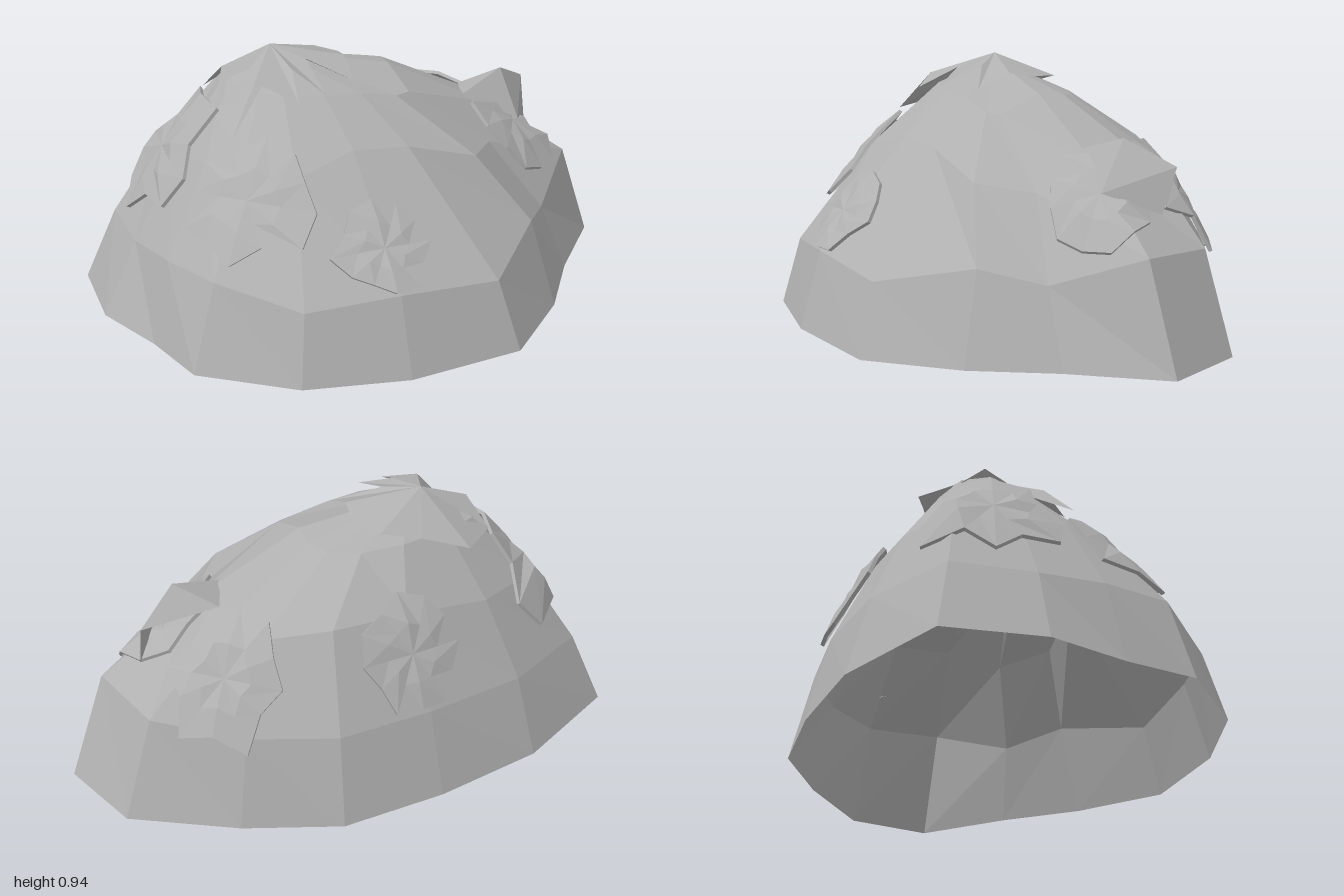
import * as THREE from 'three';

const stone = new THREE.MeshStandardMaterial({ color: 0xb0b0b0, flatShading: true, side: THREE.DoubleSide });
stone.name = 'grey stone';

function makeMesh(name, points, faces) {
  const geo = new THREE.BufferGeometry();
  geo.setAttribute('position', new THREE.Float32BufferAttribute(points.flat(), 3));
  geo.setIndex(faces.flat());
  const flat = geo.toNonIndexed();
  flat.computeVertexNormals();
  const mesh = new THREE.Mesh(flat, stone);
  mesh.name = name;
  return mesh;
}

// Open-bottomed mound: four rings of fifteen corners and a summit
function buildMound() {
  const base = [[-.97, -.51], [-.54, -.69], [-.12, -.735], [.27, -.725], [.59, -.57], [.92, -.34], [1, -.02],
    [.73, .24], [.52, .49], [.23, .72], [-.2, .725], [-.56, .62], [-.85, .37], [-.905, .11], [-1, -.17]]
    .map(([x, z]) => [x, 0, z]);
  const low = [[-.86, .28, -.45], [-.5, .3, -.61], [-.1, .32, -.66], [.25, .32, -.65], [.54, .33, -.52],
    [.8, .36, -.31], [.86, .38, -.01], [.62, .27, .22], [.46, .32, .4], [.18, .25, .64], [-.2, .28, .64],
    [-.52, .25, .56], [-.75, .31, .33], [-.83, .3, .08], [-.87, .28, -.16]];
  const high = [[-.68, .57, -.38], [-.42, .59, -.49], [-.08, .64, -.51], [.2, .65, -.5], [.42, .62, -.4],
    [.53, .62, -.28], [.53, .62, -.06], [.43, .54, .13], [.28, .57, .29], [.01, .65, .28], [-.2, .67, .27],
    [-.42, .61, .29], [-.58, .6, .17], [-.65, .6, .02], [-.68, .6, -.17]];
  const top = [[-.47, .82, -.3], [-.34, .82, -.34], [-.15, .82, -.36], [0, .81, -.33], [.1, .81, -.27],
    [.14, .82, -.2], [.12, .83, -.1], [.12, .77, .07], [.06, .77, .09], [-.08, .8, .08], [-.22, .81, .08],
    [-.36, .82, .04], [-.43, .82, -.02], [-.47, .83, -.1], [-.49, .84, -.2]];
  const rings = [base, low, high, top];
  const n = base.length, faces = [];
  for (let r = 0; r < 3; r++) {
    for (let i = 0; i < n; i++) {
      const a = r * n + i, b = r * n + (i + 1) % n;
      faces.push([a, a + n, b + n], [a, b + n, b]);
    }
  }
  for (let i = 0; i < n; i++) faces.push([3 * n + i, 4 * n, 3 * n + (i + 1) % n]);
  return makeMesh('mound', [...rings.flat(), [-.29, .91, -.19]], faces);
}

// Ragged flake laid over the mound: a fan, its outline and a thin rim
function buildFlake(mound, { name, at, normal, size, radii, lift = 0.02, tilt = 0 }) {
  const n = new THREE.Vector3(...normal).normalize();
  const u = new THREE.Vector3(0, 1, 0).cross(n).normalize();
  const v = n.clone().cross(u);
  const centre = new THREE.Vector3(...at);
  const ray = new THREE.Raycaster();
  const place = (a, b, height) => {
    const p = centre.clone().addScaledVector(u, a).addScaledVector(v, b);
    ray.set(p.clone().addScaledVector(n, 0.5), n.clone().negate());
    const hit = ray.intersectObject(mound)[0];
    if (hit && hit.point.distanceTo(p) < 0.15) p.copy(hit.point);
    return p.addScaledVector(n, height).toArray();
  };
  const k = radii.length, points = [place(0, 0, lift)], faces = [];
  const layers = [[0.5, lift], [1, lift], [0.99, lift - 0.014]];
  for (const [scale, height] of layers) {
    radii.forEach((r, i) => {
      const t = i / k * Math.PI * 2 + tilt;
      const crumple = scale === 0.5 ? 0.008 * (i % 2) : 0;
      points.push(place(Math.cos(t) * size[0] * r * scale, Math.sin(t) * size[1] * r * scale, height + crumple));
    });
  }
  for (let i = 0; i < k; i++) {
    const j = (i + 1) % k;
    faces.push([0, 1 + i, 1 + j]);
    for (let s = 0; s < 2; s++) {
      const a = 1 + s * k + i, b = 1 + s * k + j;
      faces.push([a, a + k, b + k], [a, b + k, b]);
    }
  }
  return makeMesh(name, points, faces);
}

// Folded crust around the summit
function buildCrown() {
  const rim = [[-.04, .87, -.19], [-.08, .86, -.32], [-.22, .83, -.37], [-.38, .78, -.43], [-.53, .77, -.32],
    [-.49, .87, -.22], [-.57, .74, -.1], [-.57, .71, .08], [-.43, .86, .02], [-.34, .82, .13], [-.3, .89, -.02],
    [-.23, .83, .11], [-.22, .9, -.08], [-.08, .83, .03], [-.06, .885, -.1]];
  const k = rim.length;
  return makeMesh('summitCrust', [...rim, [-.31, .935, -.2]], rim.map((_, i) => [k, (i + 1) % k, i]));
}

// Upturned shard on the right-hand flake
function buildShard() {
  const p = [[.61, .735, -.1], [.77, .65, -.2], [.63, .56, .01], [.76, .49, -.15], [.48, .66, -.2], [.41, .67, -.05]];
  return makeMesh('shard', p, [[0, 5, 2], [0, 2, 1], [2, 3, 1], [0, 4, 5], [0, 1, 4]]);
}

export function createModel() {
  const group = new THREE.Group();
  group.name = 'rockMound';
  const mound = buildMound();
  mound.updateMatrixWorld(true);
  group.add(mound, buildCrown(), buildShard());

  const flakes = [
    { name: 'frontFlake', at: [-.21, .41, .53], normal: [-.05, .6, .8], size: [.18, .18],
      radii: [1, .9, .95, 1, .95, .8, 1.05, .85, .75, .9, 1, .8] },
    { name: 'frontRightFlake', at: [-.58, .54, .24], normal: [-.65, .5, .57], size: [.24, .23],
      radii: [1, .85, .95, 1, .8, 1, .9, 1.1, .85, 1, .75, 1.1], lift: .025 },
    { name: 'backRightFlake', at: [-.68, .56, -.25], normal: [-.8, .58, -.2], size: [.25, .27],
      radii: [.95, .7, 1.1, .9, 1, .75, 1, 1.1, .8, 1, .7, 1], lift: .035 },
    { name: 'backFlake', at: [-.06, .52, -.57], normal: [0, .45, -.89], size: [.2, .22],
      radii: [1, .9, .95, 1, .85, 1, .95, .8, 1, .9, 1, .85], lift: .03 },
    { name: 'backLeftFlake', at: [.54, .49, -.38], normal: [.6, .58, -.55], size: [.22, .25],
      radii: [.9, .8, 1, .95, 1.05, .75, 1, .7, 1.05, .8, 1.1, .75], lift: .03 },
    { name: 'leftFlake', at: [.61, .55, 0], normal: [.55, .8, .25], size: [.18, .23],
      radii: [1, .85, 1, .8, 1, .95, .9, 1, .95, 1, .9, 1], lift: .025 }
  ];
  for (const flake of flakes) group.add(buildFlake(mound, flake));
  return group;
}
